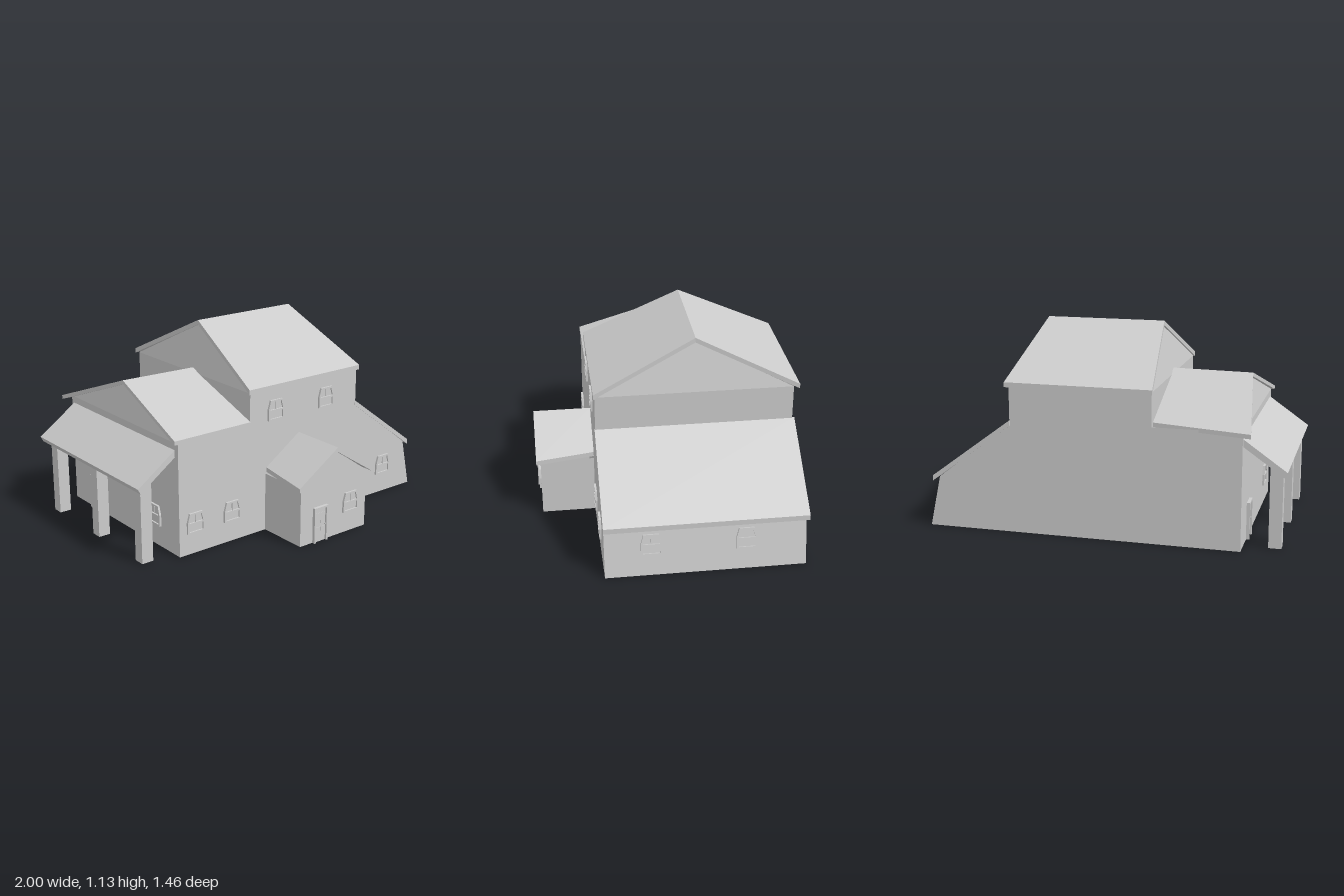
import * as THREE from 'three';

const mat = new THREE.MeshStandardMaterial({ color: 0xcccccc, flatShading: true, side: THREE.DoubleSide });
const FRONT = 0.4, BACK = -0.697, RIDGE_Z = -0.155;

function addMesh(parent, name, geometry) {
  const mesh = new THREE.Mesh(geometry, mat);
  mesh.name = name;
  parent.add(mesh);
  return mesh;
}

// Flat convex polygons, each a counter-clockwise loop of [x, y, z] corners
function polygons(faces) {
  const pos = [];
  for (const f of faces)
    for (let i = 1; i < f.length - 1; i++) pos.push(...f[0], ...f[i], ...f[i + 1]);
  const g = new THREE.BufferGeometry();
  g.setAttribute('position', new THREE.Float32BufferAttribute(pos, 3));
  g.computeVertexNormals();
  return g;
}

// Roof panel: top corners counter-clockwise from above, thickened by an offset
function slab(parent, name, top, off = [0, -0.027, 0]) {
  const low = top.map(p => p.map((v, i) => v + off[i]));
  const faces = [top, [...low].reverse()];
  top.forEach((p, i) => {
    const j = (i + 1) % top.length;
    faces.push([p, low[i], low[j], top[j]]);
  });
  return addMesh(parent, name, polygons(faces));
}

function outline(points) {
  return new THREE.Shape(points.map(p => new THREE.Vector2(...p)));
}

function box(parent, name, w, h, d, x, y, z) {
  const mesh = addMesh(parent, name, new THREE.BoxGeometry(w, h, d));
  mesh.position.set(x, y, z);
  return mesh;
}

// Window with a tapered head; local origin at the middle of the sill
function makeWindow(parent, x, y, z, turn = 0, tilt = 0) {
  const g = new THREE.Group();
  g.name = 'window';
  const frame = outline([[-0.057, 0], [0.057, 0], [0.057, 0.065], [0.042, 0.117], [-0.042, 0.117], [-0.057, 0.065]]);
  frame.holes.push(
    outline([[-0.046, 0.009], [-0.046, 0.052], [0.046, 0.052], [0.046, 0.009]]),
    outline([[-0.046, 0.062], [-0.034, 0.107], [0.034, 0.107], [0.046, 0.062]]));
  addMesh(g, 'windowFrame', new THREE.ExtrudeGeometry(frame, { depth: 0.012, bevelEnabled: false }));
  const pane = outline([[-0.05, 0.005], [0.05, 0.005], [0.05, 0.062], [0.037, 0.112], [-0.037, 0.112], [-0.05, 0.062]]);
  addMesh(g, 'windowPane', new THREE.ShapeGeometry(pane)).position.z = 0.003;
  box(g, 'windowBar', 0.005, 0.046, 0.006, 0, 0.084, 0.005);
  g.position.set(x, y, z);
  g.rotation.set(tilt, turn, 0, 'YXZ');
  parent.add(g);
}

// Door with frame, raised panels and knob
function makeDoor(parent, x, z, turn = 0) {
  const g = new THREE.Group();
  g.name = 'door';
  for (const s of [-1, 1]) box(g, 'doorJamb', 0.012, 0.21, 0.02, s * 0.044, 0.105, 0.008);
  box(g, 'doorHead', 0.1, 0.012, 0.02, 0, 0.204, 0.008);
  box(g, 'doorLeaf', 0.078, 0.198, 0.006, 0, 0.099, 0.003);
  for (const s of [-1, 1])
    for (const y of [0.055, 0.14]) box(g, 'doorPanel', 0.026, 0.065, 0.004, s * 0.018, y, 0.006);
  addMesh(g, 'doorKnob', new THREE.SphereGeometry(0.005, 8, 6)).position.set(0.032, 0.1, 0.012);
  g.position.set(x, 0, z);
  g.rotation.y = turn;
  parent.add(g);
}

export function createModel() {
  const house = new THREE.Group();
  house.name = 'house';

  // Front and back walls share one stepped silhouette
  const profile = outline([[-0.765, 0], [1, 0], [0.937, 0.29], [0.515, 0.615], [0.515, 0.835],
    [-0.28, 0.835], [-0.28, 0.65], [-0.765, 0.65]]);
  addMesh(house, 'frontWall', new THREE.ShapeGeometry(profile)).position.z = FRONT;
  const backWall = addMesh(house, 'backWall', new THREE.ShapeGeometry(profile));
  backWall.rotation.y = Math.PI;
  backWall.scale.x = -1;
  backWall.position.z = BACK;

  // Side walls; the right one leans inwards
  addMesh(house, 'rightWall', polygons([
    [[1, 0, FRONT], [1, 0, BACK], [0.937, 0.29, BACK], [0.937, 0.29, FRONT]]]));
  addMesh(house, 'leftWall', polygons([
    [[-0.765, 0, BACK], [-0.765, 0, FRONT], [-0.765, 0.65, FRONT], [-0.765, 0.65, BACK]]]));

  // Upper storey sides with gables leaning towards the ridge
  addMesh(house, 'rightGable', polygons([
    [[0.515, 0.61, FRONT], [0.515, 0.61, BACK], [0.515, 0.835, BACK], [0.515, 0.835, FRONT]],
    [[0.515, 0.835, FRONT], [0.515, 0.835, BACK], [0.45, 1.108, RIDGE_Z]]]));
  addMesh(house, 'leftGable', polygons([
    [[-0.28, 0.62, BACK], [-0.28, 0.62, FRONT], [-0.28, 0.835, FRONT], [-0.28, 0.835, BACK]],
    [[-0.28, 0.835, BACK], [-0.28, 0.835, FRONT], [-0.212, 1.108, RIDGE_Z]]]));
  addMesh(house, 'wingGable', polygons([
    [[-0.765, 0.65, BACK], [-0.765, 0.65, FRONT], [-0.718, 0.84, -0.165]]]));

  // Main roof
  const ridgeL = [-0.223, 1.132, RIDGE_Z], ridgeR = [0.46, 1.132, RIDGE_Z];
  slab(house, 'mainRoofFront', [ridgeL, [-0.29, 0.857, 0.408], [0.53, 0.857, 0.408], ridgeR]);
  slab(house, 'mainRoofBack', [ridgeR, [0.53, 0.855, -0.727], [-0.29, 0.855, -0.727], ridgeL]);

  // Left wing roof, slightly skewed at the back
  const wingL = [-0.735, 0.862, -0.168], wingR = [-0.275, 0.862, -0.14];
  slab(house, 'wingRoofFront', [wingL, [-0.787, 0.672, 0.403], [-0.275, 0.672, 0.403], wingR], [0, -0.022, 0]);
  slab(house, 'wingRoofBack', [wingR, [-0.275, 0.668, -0.665], [-0.812, 0.652, -0.732], wingL], [0, -0.024, 0]);

  // Lean-to roof on the right
  slab(house, 'leanToRoof', [[0.512, 0.64, BACK - 0.013], [0.512, 0.64, FRONT + 0.003],
    [0.975, 0.295, FRONT + 0.003], [0.975, 0.295, BACK - 0.013]], [0, -0.03, 0]);

  // Side porch on the left
  slab(house, 'sidePorchRoof', [[-1, 0.445, -0.675], [-1, 0.445, 0.37],
    [-0.765, 0.61, 0.37], [-0.765, 0.61, -0.675]], [0.015, -0.03, 0]);
  for (const z of [-0.57, -0.13, 0.31]) box(house, 'porchPost', 0.07, 0.452, 0.065, -0.935, 0.226, z);

  // Entry porch
  const entry = new THREE.Group();
  entry.name = 'entryPorch';
  house.add(entry);
  const EL = -0.17, ER = 0.32, EZ = 0.705, MID = 0.075;
  addMesh(entry, 'entryWalls', polygons([
    [[EL, 0, EZ], [ER, 0, EZ], [ER, 0.342, EZ], [MID, 0.515, EZ], [EL, 0.342, EZ]],
    [[EL, 0, FRONT], [EL, 0, EZ], [EL, 0.342, EZ], [EL, 0.342, FRONT]],
    [[ER, 0, EZ], [ER, 0, FRONT], [ER, 0.342, FRONT], [ER, 0.342, EZ]]]));
  const topBack = [MID, 0.538, FRONT], topFront = [MID, 0.538, 0.73];
  slab(entry, 'entryRoofLeft', [[-0.163, 0.378, FRONT], [-0.2, 0.36, 0.73], topFront, topBack]);
  slab(entry, 'entryRoofRight', [topBack, topFront, [0.348, 0.36, 0.73], [0.312, 0.378, FRONT]]);

  // Doors
  makeDoor(entry, -0.03, EZ);
  makeDoor(house, -0.765, -0.45, -Math.PI / 2);

  // Windows
  makeWindow(entry, 0.2, 0.123, EZ);
  for (const x of [-0.66, -0.41, 0.475, 0.76]) makeWindow(house, x, 0.123, FRONT);
  for (const x of [-0.1, 0.275]) makeWindow(house, x, 0.652, FRONT);
  for (const z of [0.147, -0.37]) makeWindow(house, 0.975, 0.116, z, Math.PI / 2, -0.214);
  makeWindow(house, -0.765, 0.123, 0.17, -Math.PI / 2);

  return house;
}
